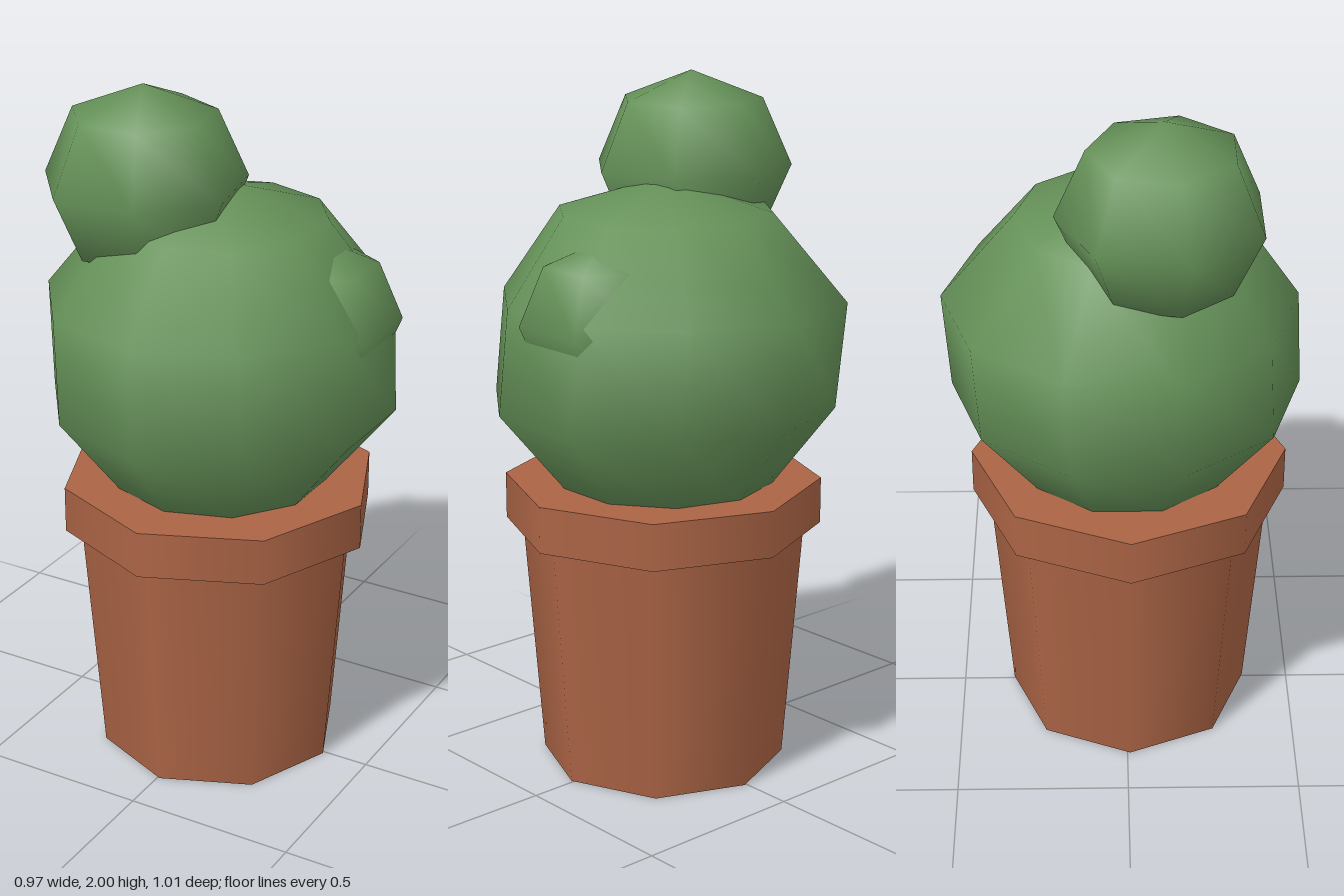
import * as THREE from 'three';

export function createModel() {
  const model = new THREE.Group();
  const green = new THREE.MeshStandardMaterial({ color: 0x659158 });
  green.name = 'cactus green';
  const clay = new THREE.MeshStandardMaterial({ color: 0xab6445 });
  clay.name = 'terracotta';

  const add = (name, geometry, material, x, y, z) => {
    const mesh = new THREE.Mesh(geometry, material);
    mesh.name = name;
    mesh.position.set(x, y, z);
    model.add(mesh);
    return mesh;
  };

  // Coarse ball with smooth shading; turn sets where the side corners point
  const ball = (sides, rings, rx, ry, turn) =>
    new THREE.SphereGeometry(1, sides, rings).rotateY(turn).scale(rx, ry, rx);

  // Eight-sided pot: tapered wall and overhanging rim
  add('pot', new THREE.CylinderGeometry(0.41, 0.355, 0.72, 8), clay, 0.007, 0.36, 0.008);
  add('potRim', new THREE.CylinderGeometry(0.457, 0.457, 0.135, 8), clay, 0.007, 0.7875, 0.008);

  // Main cactus body, its upper and lower belts shifted slightly apart
  const body = ball(10, 5, 0.522, 0.488, Math.PI / 10);
  const p = body.attributes.position;
  for (let i = 0; i < p.count; i++) {
    const y = p.getY(i);
    if (Math.abs(y) > 0.2) continue;
    p.setX(i, p.getX(i) + (y > 0 ? -0.012 : 0.01));
    p.setZ(i, p.getZ(i) + (y > 0 ? -0.018 : 0));
  }
  add('cactusBody', body, green, 0.003, 1.24, 0);

  // Young cactus balls growing from the body
  add('topBall', ball(7, 4, 0.29, 0.272, -Math.PI / 2), green, -0.18, 1.728, 0.095);
  add('sideBud', ball(6, 4, 0.236, 0.232, Math.PI / 6), green, 0.28, 1.36, -0.06);

  return model;
}
